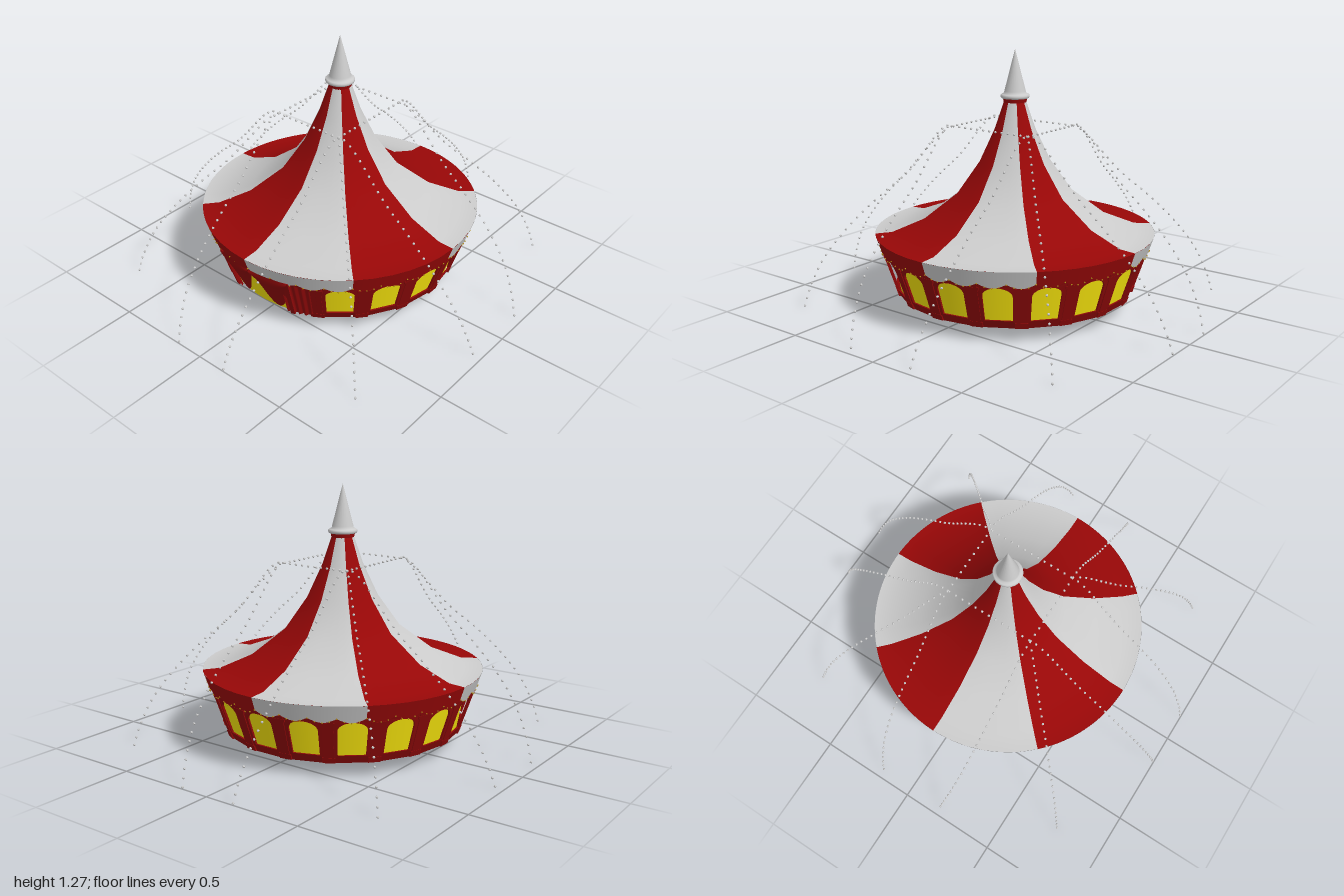
import * as THREE from 'three';
import { mergeGeometries } from 'three/addons/utils/BufferGeometryUtils.js';

const RED = 0x980707, DARK_RED = 0x8e0808, GREY = 0xcccccc, YELLOW = 0xf2e00c, GOLD = 0xb08a18;
const DEG = Math.PI / 180;
const R0 = 0.63;
const wallRadius = (y) => 0.575 + 0.335 * (y - 0.07);

function mesh(name, geometry, color, side = THREE.FrontSide) {
  const m = new THREE.Mesh(geometry, new THREE.MeshStandardMaterial({ color, side }));
  m.name = name;
  return m;
}

// Curved sheet between two angles; rule(u, v) gives [radius, height]
function sheet(a0, a1, nu, nv, rule) {
  const g = new THREE.PlaneGeometry(1, 1, nu, nv);
  const p = g.attributes.position;
  for (let i = 0; i < p.count; i++) {
    const u = p.getX(i) + 0.5, v = p.getY(i) + 0.5;
    const [r, y] = rule(u, v);
    const a = (a0 + (a1 - a0) * u) * DEG;
    p.setXYZ(i, r * Math.sin(a), y, r * Math.cos(a));
  }
  g.computeVertexNormals();
  return g;
}

// Wrap a flat extruded panel onto the sloping wall
function wrap(g, degrees) {
  const p = g.attributes.position;
  for (let i = 0; i < p.count; i++) {
    const a = degrees * DEG + p.getX(i) / R0, y = p.getY(i);
    const r = wallRadius(y) + p.getZ(i);
    p.setXYZ(i, r * Math.sin(a), y, r * Math.cos(a));
  }
  g.computeVertexNormals();
  return g;
}

// Wall panel with an arched window opening
function windowPanel(degrees) {
  const w = 10 * DEG * R0, h = 0.068;
  const s = new THREE.Shape();
  s.moveTo(-w, 0.07).lineTo(w, 0.07).lineTo(w, 0.31).lineTo(-w, 0.31).closePath();
  const hole = new THREE.Path();
  hole.moveTo(-h, 0.11).lineTo(-h, 0.24);
  hole.absellipse(0, 0.24, h, 0.045, Math.PI, 0, true);
  hole.lineTo(h, 0.11).closePath();
  s.holes.push(hole);
  return wrap(new THREE.ExtrudeGeometry(s, { depth: 0.01, bevelEnabled: false, curveSegments: 10 }), degrees);
}

function slab(degrees, width, y0, y1, offset, depth) {
  const g = new THREE.BoxGeometry(width, y1 - y0, depth).toNonIndexed();
  g.translate(0, (y0 + y1) / 2, offset);
  return wrap(g, degrees);
}

function beads(points, radius) {
  const base = new THREE.IcosahedronGeometry(radius, 0);
  return mergeGeometries(points.map((p) => base.clone().translate(p.x, p.y, p.z)));
}

function buildRoof(tent) {
  // Concave canopy profile from rim to peak, one row of cloth per point
  const profile = [[0.692, 0.372], [0.61, 0.377], [0.45, 0.44], [0.285, 0.565], [0.175, 0.72], [0.1, 0.88], [0.052, 1.02]];
  const rows = profile.length - 1;
  const scallops = [];
  for (let i = 0; i < 8; i++) {
    const color = i % 2 ? RED : GREY, a0 = i * 45;
    tent.add(mesh('roofStripe', sheet(a0, a0 + 45, 6, rows, (u, v) => {
      const [r, y] = profile[Math.round(v * rows)];
      // Cloth sags slightly between the ridges
      return [r, y - 0.02 * Math.sin(Math.PI * u) * Math.sin(Math.PI * v) ** 2];
    }), color, THREE.DoubleSide));

    // Hanging valance with a scalloped hem
    const hem = (u) => 0.308 - 0.022 * Math.abs(Math.sin(4 * Math.PI * u));
    tent.add(mesh('valance', sheet(a0, a0 + 45, 32, 1, (u, v) => {
      const y = hem(u) + (0.372 - hem(u)) * v;
      return [wallRadius(y) + 0.016, y];
    }), color, THREE.DoubleSide));
    for (let k = 0; k < 16; k++) {
      const a = (a0 + (k / 16) * 45) * DEG, y = hem(k / 16), r = wallRadius(y) + 0.018;
      scallops.push(new THREE.Vector3(r * Math.sin(a), y, r * Math.cos(a)));
    }
  }
  tent.add(mesh('hemBeads', beads(scallops, 0.004), GOLD));

  // Peak: red neck, collar and spire
  const neck = mesh('peakNeck', new THREE.CylinderGeometry(0.06, 0.054, 0.026, 24), RED);
  neck.position.y = 1.018;
  const spire = [[0, 1.03], [0.066, 1.03], [0.071, 1.036], [0.071, 1.044], [0.066, 1.05], [0.055, 1.052], [0.052, 1.065], [0, 1.268]];
  tent.add(neck, mesh('spire', new THREE.LatheGeometry(spire.map(([r, y]) => new THREE.Vector2(r, y)), 24), GREY));
}

function buildWall(tent) {
  const panels = [], posts = [];
  for (let d = 40; d <= 320; d += 20) panels.push(windowPanel(d));
  for (let d = 30; d <= 330; d += 20) {
    posts.push(slab(d, 0.05, 0.072, 0.3, 0.01, 0.008));
    posts.push(slab(d, 0.064, 0.072, 0.1, 0.011, 0.01));
    posts.push(slab(d, 0.064, 0.27, 0.285, 0.011, 0.01));
  }
  tent.add(mesh('windowWall', mergeGeometries(panels), DARK_RED, THREE.DoubleSide));
  tent.add(mesh('wallPosts', mergeGeometries(posts), DARK_RED));
  tent.add(mesh('wallHeader', sheet(0, 360, 48, 1, (u, v) => {
    const y = 0.285 + 0.085 * v;
    return [wallRadius(y) + 0.01, y];
  }), DARK_RED, THREE.DoubleSide));

  // Glowing lining behind the windows, closed by the floor
  const lining = mesh('lining', new THREE.CylinderGeometry(0.625, 0.572, 0.27, 48), YELLOW, THREE.DoubleSide);
  lining.position.y = 0.206;
  tent.add(lining);
}

function buildEntrance(tent) {
  for (const s of [-1, 1]) {
    const range = (a, b) => (s > 0 ? [a, b] : [-b, -a]);
    // Pleated side curtain
    tent.add(mesh('sideCurtain', sheet(...range(15, 30), 40, 4, (u, v) => {
      const y = 0.07 + 0.23 * v;
      return [wallRadius(y) + 0.007 + 0.007 * Math.cos(u * 10 * Math.PI), y];
    }), DARK_RED, THREE.DoubleSide));
    // Layered swags swept outward, each shorter and further forward
    [0.2, 0.165, 0.13, 0.095, 0.06].forEach((drop, k) => {
      tent.add(mesh('swag', sheet(...range(0.3, 18.5), 24, 6, (u, v) => {
        const out = s > 0 ? u : 1 - u;
        const low = 0.285 - drop * Math.sin(Math.PI * out ** 1.15) ** 0.75;
        const y = low + (0.3 - low) * v;
        return [wallRadius(y) + 0.004 + 0.004 * k + 0.008 * Math.sin(Math.PI * v), y];
      }), DARK_RED, THREE.DoubleSide));
    });
    // Door post
    tent.add(mesh('doorPost', slab(s * 18, 0.022, 0.07, 0.3, 0.014, 0.014), DARK_RED));
  }
}

// Strings of small lamps from the upper square frame to the ground
function buildLampStrings(group) {
  const fall = [[0, 0.892], [0.07, 0.86], [0.33, 0.65], [0.52, 0.53], [0.7, 0.4], [0.86, 0.25], [0.96, 0.1], [1, 0.007]];
  const points = [];
  const string = (x0, z0, x1, z1, bend) => {
    const curve = new THREE.CatmullRomCurve3(fall.map(([t, y]) => {
      // Side strings turn inward only near the ground
      const tx = bend === 'x' ? t ** 8 : t, tz = bend === 'z' ? t ** 8 : t;
      return new THREE.Vector3(x0 + (x1 - x0) * tx, y, z0 + (z1 - z0) * tz);
    }));
    points.push(...curve.getSpacedPoints(Math.round(curve.getLength() / 0.04)));
  };
  for (const sx of [-1, 1]) for (const sz of [-1, 1]) {
    string(0.185 * sx, 0.26 * sz, 0.148 * sx, 0.993 * sz, 'x');
    string(0.22 * sx, 0.23 * sz, 0.955 * sx, 0.18 * sz, 'z');
    string(0.19 * sx, 0.23 * sz, 0.72 * sx, 0.75 * sz);
  }
  for (const s of [-1, 1]) {
    for (let i = -6; i <= 6; i++) points.push(new THREE.Vector3(0.185 * s, 0.892, i * 0.037));
    for (let i = -5; i <= 5; i++) points.push(new THREE.Vector3(i * 0.037, 0.892, 0.23 * s));
  }
  group.add(mesh('lampStrings', beads(points, 0.0065), GREY));
}

export function createModel() {
  const group = new THREE.Group();
  const tent = new THREE.Group();
  tent.name = 'tent';
  buildRoof(tent);
  buildWall(tent);
  buildEntrance(tent);
  tent.position.set(-0.005, 0, -0.01);
  group.add(tent);
  buildLampStrings(group);
  return group;
}
